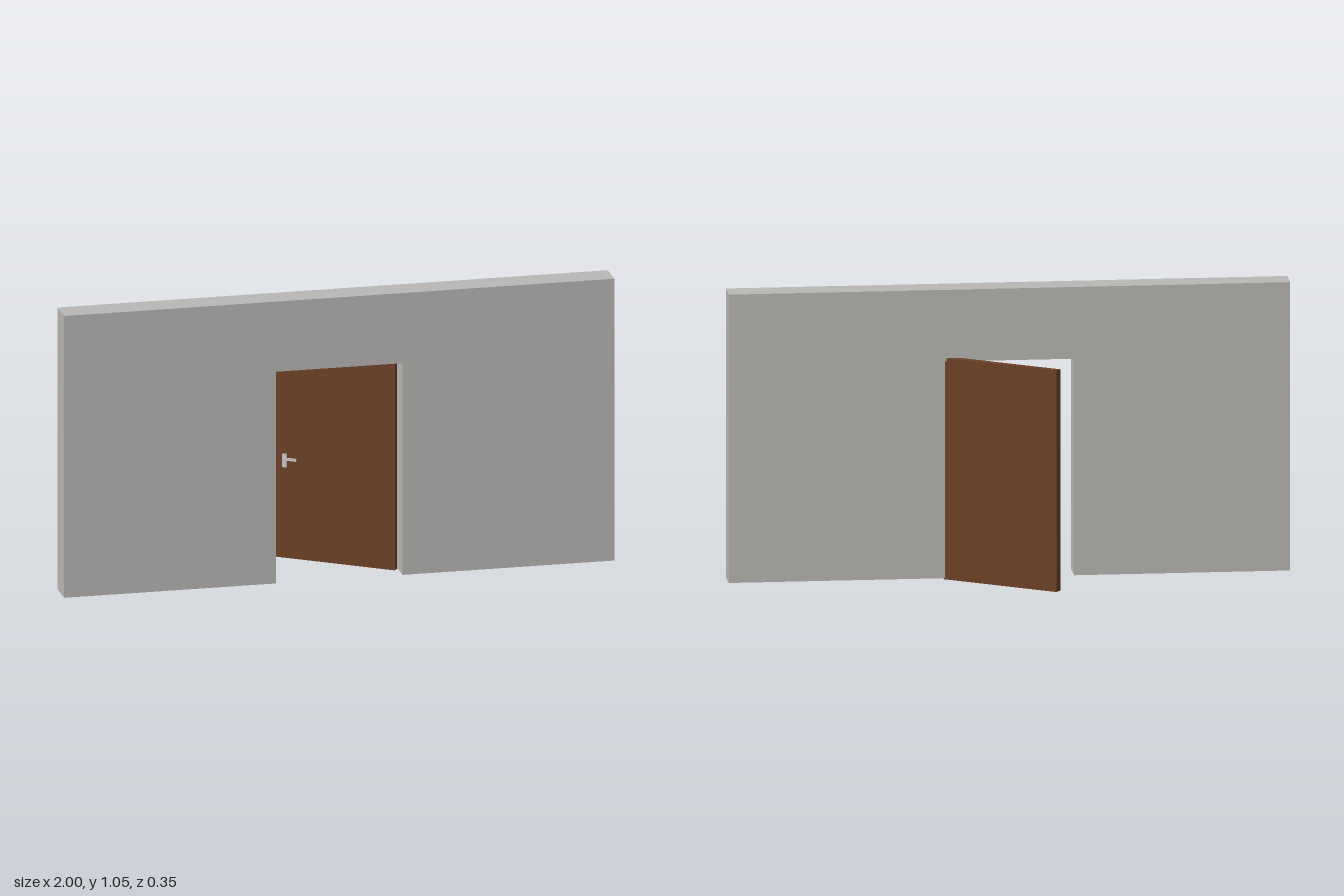
import * as THREE from 'three';

const material = (name, color) => {
  const m = new THREE.MeshStandardMaterial({ color });
  m.name = name;
  return m;
};

export function createModel() {
  const plaster = material('grey plaster', 0xbab8b5);
  const wood = material('brown wood', 0x6b4025);
  const metal = material('pale metal', 0xc4c4c4);

  const model = new THREE.Group();
  model.name = 'wallWithDoor';

  // Wall outline with the doorway cut from its lower edge
  const outline = [
    [-1, 0.005], [-0.23, 0.005], [-0.23, 0.79], [0.23, 0.79],
    [0.23, 0.005], [1, 0.005], [1, 1.05], [-1, 1.05],
  ].map(([x, y]) => new THREE.Vector2(x, y));
  const wall = new THREE.Mesh(
    new THREE.ExtrudeGeometry(new THREE.Shape(outline), { depth: 0.105, bevelEnabled: false }),
    plaster,
  );
  wall.name = 'wall';
  wall.position.z = 0.074;
  model.add(wall);

  // Door group: local x runs along the door towards the hinge, local z is its face
  const door = new THREE.Group();
  door.name = 'door';
  door.position.set(0.039, 0, -0.0355);
  door.rotation.y = -0.6;
  model.add(door);

  const addBox = (name, mat, size, pos) => {
    const mesh = new THREE.Mesh(new THREE.BoxGeometry(...size), mat);
    mesh.name = name;
    mesh.position.set(...pos);
    door.add(mesh);
  };
  addBox('doorLeaf', wood, [0.455, 0.802, 0.029], [0, 0.401, 0]);

  // Handle: plate, stem and lever
  addBox('handlePlate', metal, [0.018, 0.05, 0.004], [-0.192, 0.361, 0.0165]);
  addBox('handleStem', metal, [0.008, 0.01, 0.016], [-0.188, 0.371, 0.0225]);
  addBox('handleLever', metal, [0.05, 0.01, 0.005], [-0.167, 0.371, 0.0305]);

  return model;
}
